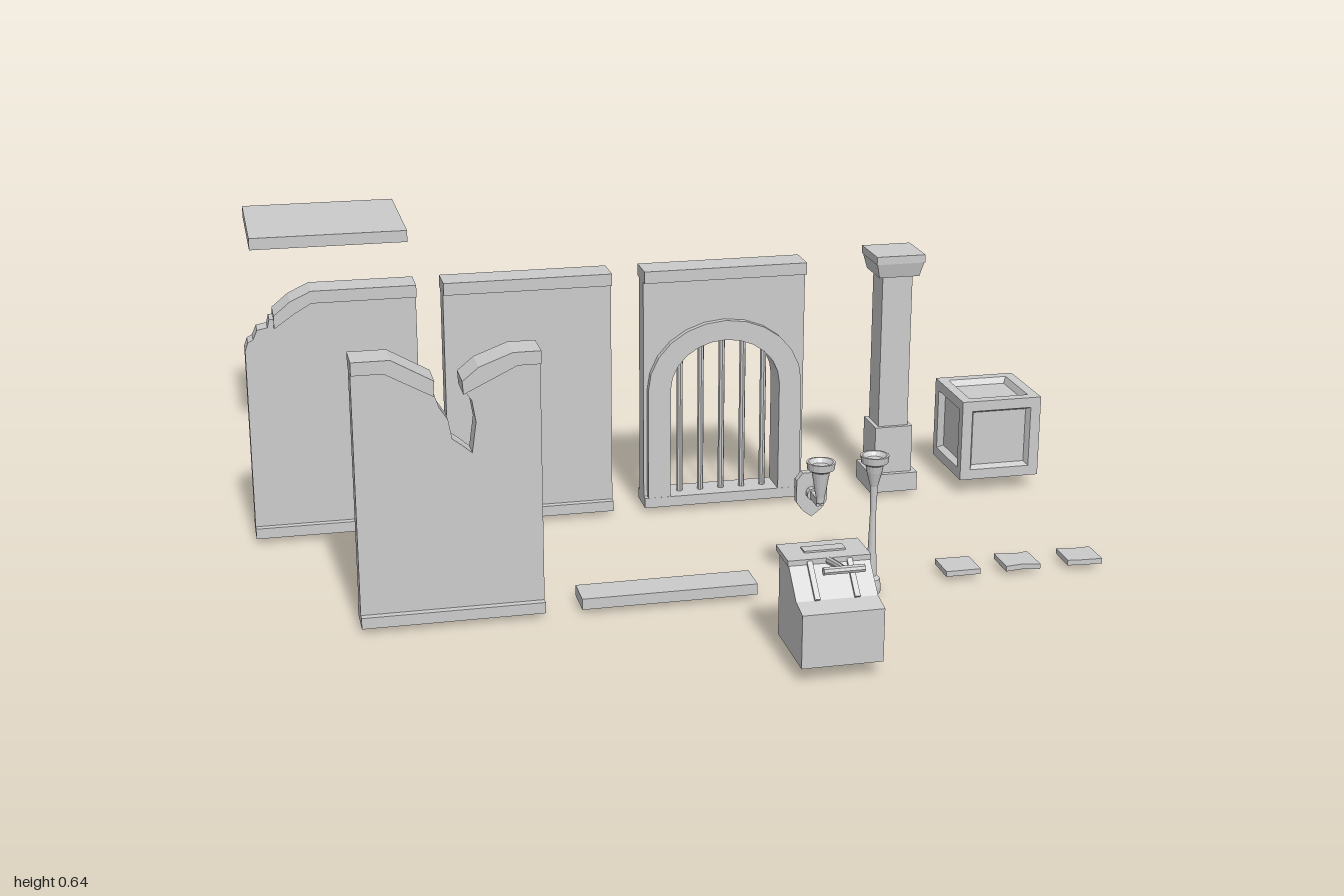
import * as THREE from 'three';

const mat = new THREE.MeshStandardMaterial({ color: 0xcccccc, flatShading: true });

function add(parent, name, geometry, x = 0, y = 0, z = 0) {
  const mesh = new THREE.Mesh(geometry, mat);
  mesh.name = name;
  mesh.position.set(x, y, z);
  parent.add(mesh);
  return mesh;
}

// Box given by its lower and upper limits on each axis
function box(parent, name, x0, x1, y0, y1, z0, z1) {
  return add(parent, name, new THREE.BoxGeometry(x1 - x0, y1 - y0, z1 - z0),
    (x0 + x1) / 2, (y0 + y1) / 2, (z0 + z1) / 2);
}

const toShape = pts => new THREE.Shape(pts.map(p => new THREE.Vector2(...p)));

// Outline extruded along z, centred on z
function slab(parent, name, pts, z, half, hole) {
  const shape = toShape(pts);
  if (hole) shape.holes.push(toShape(hole));
  const g = new THREE.ExtrudeGeometry(shape, { depth: half * 2, bevelEnabled: false });
  return add(parent, name, g, 0, 0, z - half);
}

function lathe(parent, name, pts, sides, x, y, z) {
  return add(parent, name, new THREE.LatheGeometry(pts.map(p => new THREE.Vector2(...p)), sides), x, y, z);
}

function group(parent, name) {
  const g = new THREE.Group();
  g.name = name;
  parent.add(g);
  return g;
}

// Arch outline from the lower left, over the top, to the lower right
function arch(cx, halfWidth, y0, spring, rise) {
  const pts = [[cx - halfWidth, y0]];
  for (let i = 0; i <= 12; i++) {
    const a = Math.PI * (1 - i / 12);
    pts.push([cx + halfWidth * Math.cos(a), spring + rise * Math.sin(a)]);
  }
  pts.push([cx + halfWidth, y0]);
  return pts;
}

const BACK = -0.107, FRONT = 0.488, TRIM = 0.042, PANEL = 0.025;
const base = (g, x0, x1, z) => box(g, 'wallBase', x0, x1, 0.012, 0.038, z - TRIM, z + TRIM);
const rect = (x0, x1, y0, y1) => [[x0, y0], [x1, y0], [x1, y1], [x0, y1]];

export function createModel() {
  const root = new THREE.Group();
  root.name = 'dungeonKit';

  // Floor or ceiling slab
  box(root, 'ceilingSlab', -0.96, -0.55, 0.597, 0.628, -0.99, -0.615);

  // Wall with a crumbled corner
  const corner = group(root, 'crumbledWall');
  base(corner, -1, -0.59, BACK);
  slab(corner, 'wallPanel', [[-1, 0.03], [-0.59, 0.03], [-0.59, 0.605], [-0.85, 0.605], [-0.925, 0.56],
    [-0.94, 0.56], [-0.945, 0.54], [-0.97, 0.535], [-0.98, 0.512], [-0.993, 0.505], [-1, 0.485]], BACK, PANEL);
  slab(corner, 'wallCap', [[-0.59, 0.598], [-0.59, 0.628], [-0.84, 0.628], [-0.89, 0.605], [-0.93, 0.572],
    [-0.93, 0.54], [-0.88, 0.575], [-0.84, 0.598]], BACK, TRIM);

  // Plain wall
  const plain = group(root, 'plainWall');
  base(plain, -0.525, -0.113, BACK);
  slab(plain, 'wallPanel', rect(-0.525, -0.113, 0.03, 0.605), BACK, PANEL);
  slab(plain, 'wallCap', rect(-0.525, -0.113, 0.598, 0.628), BACK, TRIM);

  // Wall with a barred archway
  const gate = group(root, 'archedWall');
  base(gate, -0.032, 0.38, BACK);
  const inner = arch(0.174, 0.14, 0.036, 0.32, 0.122);
  const outer = arch(0.174, 0.197, 0.013, 0.32, 0.172);
  slab(gate, 'wallPanel', rect(-0.032, 0.38, 0.03, 0.605), BACK, PANEL, inner);
  slab(gate, 'wallCap', rect(-0.032, 0.38, 0.598, 0.628), BACK, TRIM);
  slab(gate, 'archFrame', [...outer, ...arch(0.174, 0.14, 0.013, 0.32, 0.122).reverse()], BACK, 0.0415);
  for (let i = -2; i <= 2; i++) {
    const dx = i * 0.054;
    const top = 0.325 + 0.122 * Math.sqrt(1 - (dx / 0.14) ** 2);
    add(gate, 'gateBar', new THREE.CylinderGeometry(0.008, 0.008, top - 0.03, 8), 0.174 + dx, (top + 0.03) / 2, BACK);
  }

  // Wall with a crack from the top
  const cracked = group(root, 'crackedWall');
  base(cracked, -0.8, -0.388, FRONT);
  slab(cracked, 'wallPanel', [[-0.8, 0.03], [-0.388, 0.03], [-0.388, 0.605], [-0.44, 0.605], [-0.56, 0.55],
    [-0.54, 0.52], [-0.532, 0.47], [-0.542, 0.4], [-0.565, 0.42], [-0.585, 0.435], [-0.593, 0.48],
    [-0.612, 0.51], [-0.625, 0.55], [-0.73, 0.605], [-0.8, 0.605]], FRONT, PANEL);
  slab(cracked, 'wallCapLeft', [[-0.8, 0.598], [-0.73, 0.598], [-0.625, 0.54], [-0.622, 0.575],
    [-0.715, 0.628], [-0.8, 0.628]], FRONT, TRIM);
  slab(cracked, 'wallCapRight', [[-0.388, 0.598], [-0.388, 0.628], [-0.45, 0.628], [-0.525, 0.6],
    [-0.562, 0.57], [-0.56, 0.54], [-0.44, 0.598]], FRONT, TRIM);

  // Loose trim piece
  box(root, 'trimPiece', -0.305, 0.103, 0.012, 0.038, FRONT - TRIM, FRONT + TRIM);

  // Square pillar
  const pillar = group(root, 'pillar');
  const [px, pz] = [0.618, BACK];
  const block = (name, h, y0, y1) => box(pillar, name, px - h, px + h, y0, y1, pz - h, pz + h);
  block('pillarFoot', 0.062, 0.012, 0.06);
  block('pillarPlinth', 0.049, 0.06, 0.183);
  block('pillarShaft', 0.039, 0.183, 0.59);
  const q = Math.SQRT2;
  lathe(pillar, 'pillarCapital', [[0, 0.58], [0.052 * q, 0.58], [0.061 * q, 0.617], [0.063 * q, 0.617],
    [0.063 * q, 0.637], [0, 0.637]], 4, px, 0, pz).rotation.y = Math.PI / 4;

  // Crate: six framed sides with sunken panels
  const crate = group(root, 'crate');
  crate.position.set(0.893, 0.144, -0.123);
  const h = 0.1055;
  const side = new THREE.LatheGeometry([[h, h], [0.079, h], [0.071, h - 0.016], [0, h - 0.016]]
    .map(([r, y]) => new THREE.Vector2(r * q, y)), 4).rotateY(Math.PI / 4);
  for (let i = 0; i < 4; i++) add(crate, 'crateSide', side).rotation.x = i * Math.PI / 2;
  for (const s of [-1, 1]) add(crate, 'crateSide', side).rotation.z = s * Math.PI / 2;

  // Broken floor tiles
  const wavy = [[[-0.042, -0.04], [0.042, -0.04], [0.042, 0.04], [-0.042, 0.042]],
    [[-0.042, -0.04], [0, -0.034], [0.042, -0.042], [0.04, 0.04], [0.015, 0.034], [-0.042, 0.042]],
    [[-0.042, -0.036], [-0.01, -0.04], [0.042, -0.042], [0.042, 0.036], [0.005, 0.034], [-0.04, 0.041]]];
  [0.602, 0.75, 0.905].forEach((x, i) => {
    const g = new THREE.ExtrudeGeometry(toShape(wavy[i]), { depth: 0.013, bevelEnabled: false });
    add(root, 'floorTile', g.rotateX(-Math.PI / 2), x, 0.012, 0.486);
  });

  // Torch bowls share a rim; one stands on a pole, one hangs on a bracket
  const rim = [[0.018, 0.295], [0.021, 0.312], [0.031, 0.318], [0.033, 0.335], [0.028, 0.335], [0.02, 0.325], [0, 0.325]];
  lathe(root, 'standingTorch', [[0, 0], [0.022, 0], [0.023, 0.014], [0.02, 0.034], [0.012, 0.042], [0.01, 0.1],
    [0.007, 0.2], [0.009, 0.26], ...rim], 16, 0.37, 0, 0.543);
  const torch = group(root, 'wallTorch');
  torch.position.set(0.238, 0, 0);
  lathe(torch, 'torchBowl', [[0, 0.232], [0.009, 0.237], [0.01, 0.25], [0.013, 0.265], ...rim], 16, 0, 0, 0.56);
  box(torch, 'bracketArm', -0.008, 0.008, 0.228, 0.246, 0.485, 0.56);
  slab(torch, 'bracketPlate', [[0, 0.178], [0.022, 0.195], [0.036, 0.215], [0.036, 0.268], [0.022, 0.285],
    [-0.022, 0.285], [-0.036, 0.268], [-0.036, 0.215], [-0.022, 0.195]], 0.484, 0.009);
  add(torch, 'bracketBoss', new THREE.CylinderGeometry(0.015, 0.015, 0.018, 10).rotateX(Math.PI / 2), 0, 0.237, 0.5);

  // Lever console: side profile extruded across x
  const lever = group(root, 'leverConsole');
  lever.position.x = 0.167;
  const profile = [[-0.985, 0.034], [-0.8, 0.034], [-0.8, 0.225], [-0.87, 0.225], [-0.935, 0.165], [-0.985, 0.155]];
  const body = new THREE.ExtrudeGeometry(toShape(profile), { depth: 0.18, bevelEnabled: false });
  add(lever, 'consoleBody', body.rotateY(Math.PI / 2), -0.09);
  box(lever, 'consoleTop', -0.092, 0.092, 0.222, 0.234, 0.777, 0.874);
  box(lever, 'consoleSlot', -0.046, 0.046, 0.23, 0.238, 0.81, 0.838);
  for (const s of [-1, 1]) {
    const rail = box(lever, 'slopeRail', -0.006, 0.006, -0.006, 0.006, -0.046, 0.046);
    rail.position.set(s * 0.044, 0.196, 0.902);
    rail.rotation.x = 0.745;
  }
  const rod = add(lever, 'leverRod', new THREE.CylinderGeometry(0.007, 0.009, 0.11, 8), 0, 0.238, 0.925);
  rod.rotation.x = Math.PI / 2 - 0.22;
  add(lever, 'leverHandle', new THREE.CylinderGeometry(0.009, 0.009, 0.09, 8).rotateZ(Math.PI / 2), 0, 0.248, 0.976);

  return root;
}
